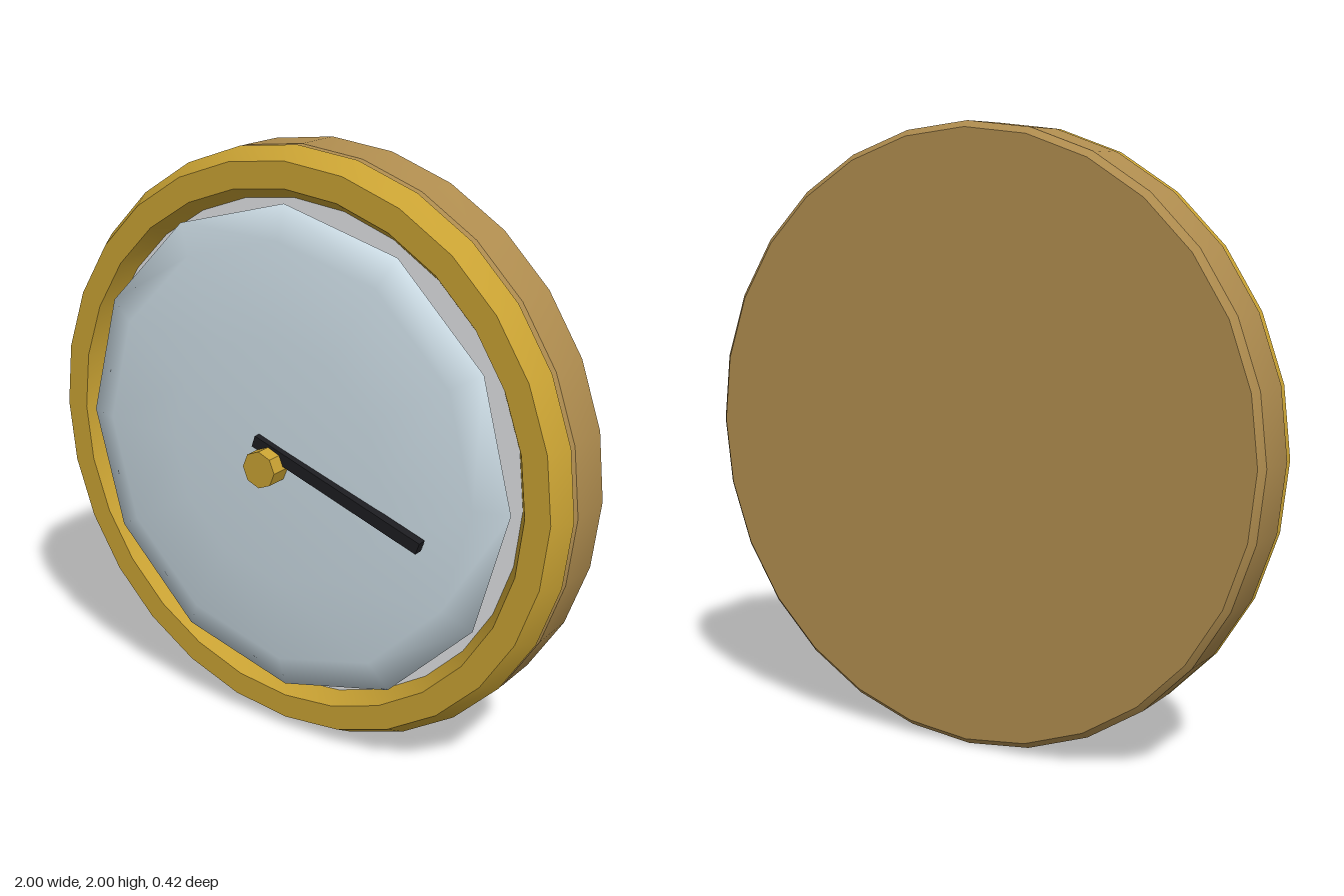
import * as THREE from 'three';
import { toCreasedNormals } from 'three/addons/utils/BufferGeometryUtils.js';

const SIDES = 28;

const material = (color) => new THREE.MeshStandardMaterial({ color });

// Turned part around the z axis; profile is [radius, z], outside from back to front
function turned(name, profile, mat) {
  const points = profile.map(([r, z]) => new THREE.Vector2(r, z));
  const geometry = new THREE.LatheGeometry(points, SIDES).rotateX(Math.PI / 2);
  const mesh = new THREE.Mesh(toCreasedNormals(geometry, Math.PI / 7), mat);
  mesh.name = name;
  return mesh;
}

export function createModel() {
  const group = new THREE.Group();
  group.name = 'dialGauge';
  const dial = new THREE.Group();
  dial.name = 'dial';
  dial.position.y = 1;
  group.add(dial);

  const bronze = material(0xb08d4f);
  const gold = material(0xc9a233);

  // Drum-shaped case with small chamfers
  dial.add(turned('case', [
    [0, -0.21], [0.98, -0.21], [1, -0.19], [1, -0.025], [0.985, -0.01], [0, -0.01],
  ], bronze));

  // Bezel, bevelled outside and inside
  dial.add(turned('bezel', [
    [0.83, -0.015], [0.985, -0.015], [1, 0], [0.96, 0.07], [0.875, 0.07], [0.83, 0], [0.83, -0.015],
  ], gold));

  // Dial face under the glass
  dial.add(turned('dialFace', [
    [0, -0.01], [0.84, -0.01], [0.84, 0.015], [0, 0.015],
  ], material(0xe2e4e6)));

  // Shallow domed glass
  const domeGeometry = new THREE.SphereGeometry(0.83, 12, 6).rotateX(Math.PI / 2);
  domeGeometry.scale(1, 1, 0.068 / 0.83);
  const glass = new THREE.Mesh(domeGeometry, material(0xcddde6));
  glass.name = 'glass';
  glass.position.z = 0.07;
  dial.add(glass);

  // Pointer
  const pointer = new THREE.Mesh(new THREE.BoxGeometry(0.66, 0.04, 0.032), material(0x1c1c20));
  pointer.name = 'pointer';
  pointer.position.set(0.253, -0.037, 0.143);
  pointer.rotation.z = THREE.MathUtils.degToRad(-19);
  dial.add(pointer);

  // Centre hub
  const hubGeometry = new THREE.CylinderGeometry(0.062, 0.062, 0.08, 8).rotateX(Math.PI / 2);
  const hub = new THREE.Mesh(toCreasedNormals(hubGeometry, Math.PI / 7), gold);
  hub.name = 'hub';
  hub.position.z = 0.17;
  dial.add(hub);

  return group;
}
